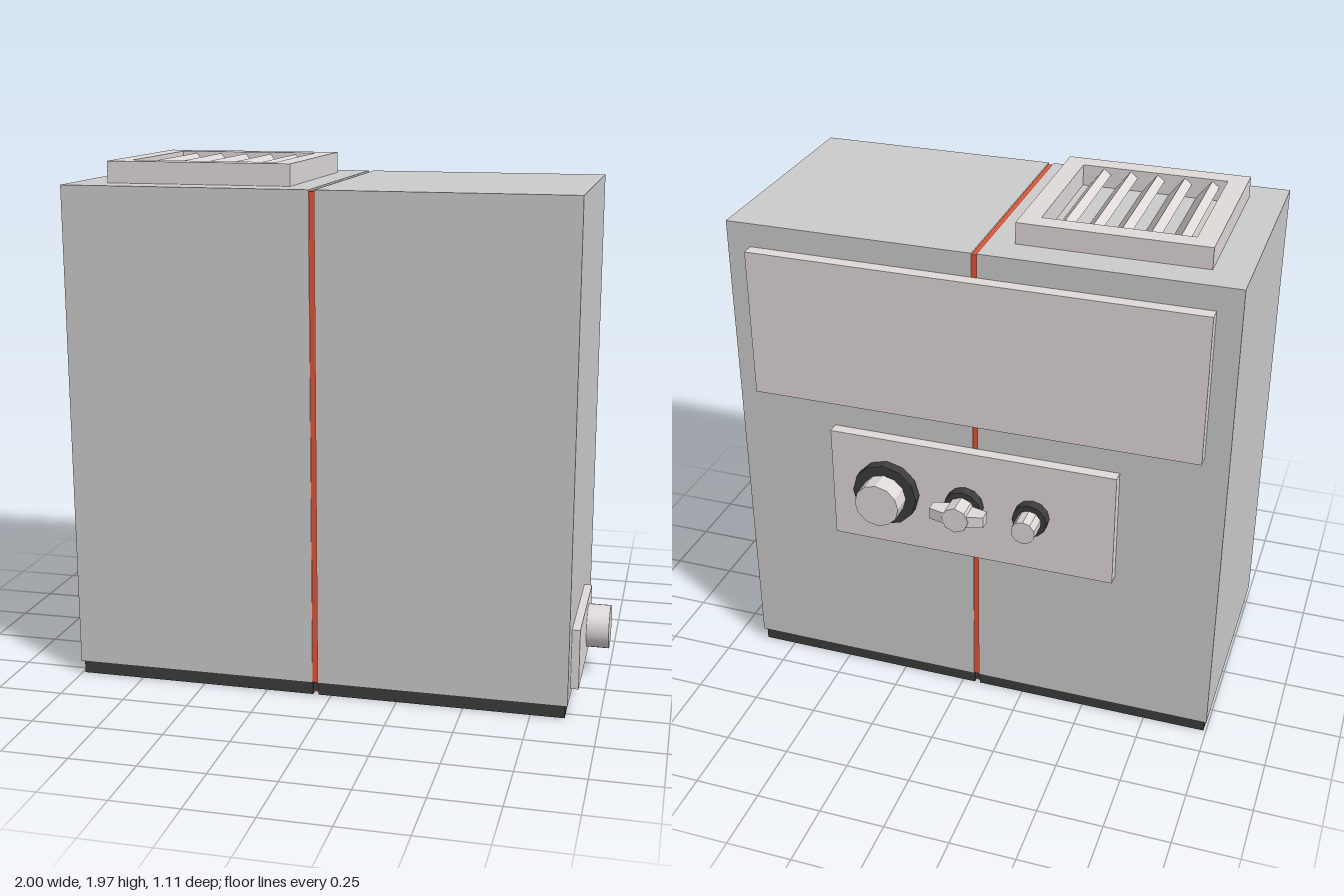
import * as THREE from 'three';

const paint = (color, flatShading = false) => new THREE.MeshStandardMaterial({ color, flatShading });

export function createModel() {
  const model = new THREE.Group();
  const grey = paint(0xcccccc);
  const pale = paint(0xe0dad9);
  const paleFlat = paint(0xe0dad9, true);
  const dark = paint(0x3c3c3c, true);
  const orange = paint(0xf0502f);

  const add = (name, geometry, material, parent = model) => {
    const mesh = new THREE.Mesh(geometry, material);
    mesh.name = name;
    parent.add(mesh);
    return mesh;
  };
  // Box given by its limits on each axis
  const box = (name, [x0, x1], [y0, y1], [z0, z1], material) => {
    const mesh = add(name, new THREE.BoxGeometry(x1 - x0, y1 - y0, z1 - z0), material);
    mesh.position.set((x0 + x1) / 2, (y0 + y1) / 2, (z0 + z1) / 2);
    return mesh;
  };

  // Two cabinet halves on dark plinths, with a coloured seam between
  box('rightCabinet', [-1, -0.07], [0.05, 1.89], [-0.39, 0.55], grey);
  box('leftCabinet', [-0.05, 0.885], [0.05, 1.89], [-0.39, 0.55], grey);
  box('rightPlinth', [-0.99, -0.07], [0, 0.05], [-0.38, 0.54], dark);
  box('leftPlinth', [-0.05, 0.875], [0, 0.05], [-0.38, 0.54], dark);
  box('seamStrip', [-0.07, -0.05], [0.05, 1.884], [-0.385, 0.545], orange);
  box('plinthJoint', [-0.07, -0.05], [0.014, 0.05], [-0.375, 0.535], dark);
  box('seamUnderside', [-0.07, -0.05], [0.01, 0.014], [-0.375, 0.535], orange);

  // Roof vent: square frame with slanted slats
  const vent = new THREE.Group();
  vent.name = 'roofVent';
  vent.position.set(-0.5175, 1.89, 0.083);
  model.add(vent);
  const square = (Type, h) => new Type([[-h, -h], [h, -h], [h, h], [-h, h]].map(([x, y]) => new THREE.Vector2(x, y)));
  const frameShape = square(THREE.Shape, 0.348);
  frameShape.holes.push(square(THREE.Path, 0.275));
  const frame = new THREE.ExtrudeGeometry(frameShape, { depth: 0.08, bevelEnabled: false });
  add('ventFrame', frame.rotateX(-Math.PI / 2), pale, vent);
  for (let i = 0; i < 5; i++) {
    const slat = add('ventSlat', new THREE.BoxGeometry(0.095, 0.035, 0.55), pale, vent);
    slat.position.set(-0.2025 + i * 0.103, 0.025, 0);
    slat.rotation.z = -0.91;
  }

  // Panels on the back
  box('upperBackPanel', [-0.91, 0.795], [1.23, 1.8], [-0.44, -0.39], pale);
  box('controlPanel', [-0.61, 0.5], [0.655, 1.11], [-0.435, -0.39], pale);

  // Controls: a dark collar with a knob, pointing backwards
  const control = (name, x, collarRadius, knobRadius, sides) => {
    const group = new THREE.Group();
    group.name = name;
    group.position.set(x, 0.89, -0.435);
    group.rotation.x = -Math.PI / 2;
    model.add(group);
    add('collar', new THREE.CylinderGeometry(collarRadius, collarRadius, 0.04, 12), dark, group).position.y = 0.02;
    add('knob', new THREE.CylinderGeometry(knobRadius, knobRadius, 0.08, sides), paleFlat, group).position.y = 0.08;
    return group;
  };
  control('largeDial', 0.275, 0.127, 0.087, 12);
  control('smallDial', -0.297, 0.067, 0.046, 10);
  const wingKnob = control('wingKnob', -0.035, 0.073, 0.052, 8);

  // Tapered wings either side of the middle knob
  const wingShape = new THREE.Shape([
    [-0.105, -0.022], [-0.05, -0.036], [0.05, -0.036], [0.105, -0.022],
    [0.105, 0.022], [0.05, 0.036], [-0.05, 0.036], [-0.105, 0.022],
  ].map(([x, y]) => new THREE.Vector2(x, y)));
  const wings = new THREE.ExtrudeGeometry(wingShape, { depth: 0.045, bevelEnabled: false });
  add('wings', wings.translate(0, 0, -0.0225), paleFlat, wingKnob).position.y = 0.08;

  // Side plate with a round outlet
  box('sidePlate', [0.885, 0.915], [0.08, 0.31], [-0.045, 0.455], pale);
  const outlet = add('sideOutlet', new THREE.CylinderGeometry(0.083, 0.083, 0.085, 32), pale);
  outlet.rotation.z = -Math.PI / 2;
  outlet.position.set(0.9575, 0.195, 0.093);

  // Centre the depth on z = 0
  return model;
}
